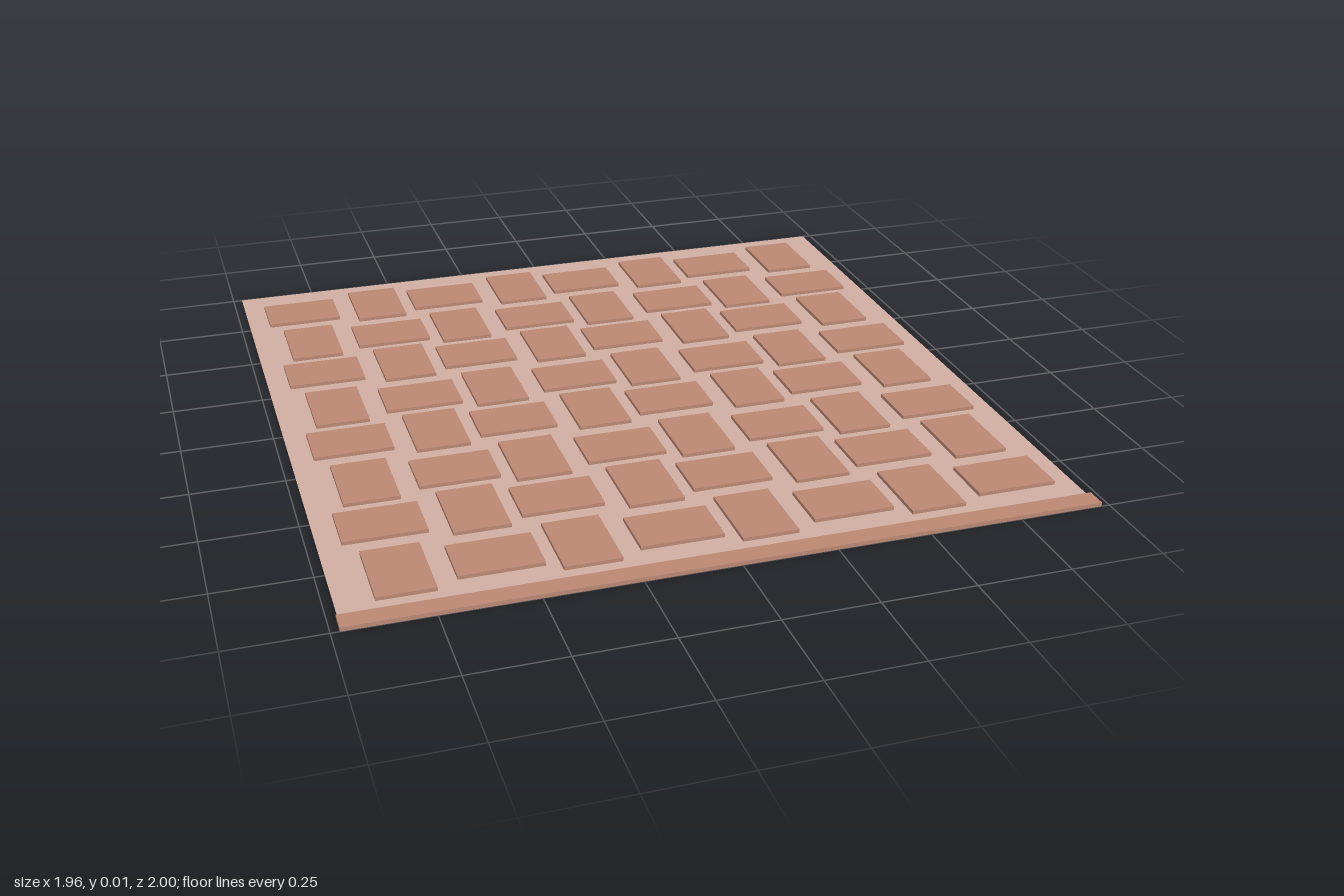
import * as THREE from 'three';

const THICK = 0.011;

export function createModel() {
  const group = new THREE.Group();
  const brickMat = new THREE.MeshStandardMaterial({ color: 0xbd8a75 });
  const mortarMat = new THREE.MeshStandardMaterial({ color: 0xd3b0a3, side: THREE.DoubleSide });

  const add = (name, geometry, material, x, y, z) => {
    const mesh = new THREE.Mesh(geometry, material);
    mesh.name = name;
    mesh.position.set(x, y, z);
    group.add(mesh);
    return mesh;
  };

  // Thin mortar sheet, a hair above the brick undersides
  add('mortarSheet', new THREE.PlaneGeometry(1.948, 2).rotateX(-Math.PI / 2), mortarMat, 0, 0.001, 0);

  // Bricks alternate lengthwise and crosswise in a checkerboard weave
  const lengthwise = new THREE.BoxGeometry(0.218, THICK, 0.149);
  const crosswise = new THREE.BoxGeometry(0.149, THICK, 0.218);
  const PAIR_X = 0.4585, PAIR_Z = 0.46;
  for (let row = 0; row < 8; row++) {
    for (let col = 0; col < 8; col++) {
      const x = (col % 2 ? -0.565 : -0.804) + Math.floor(col / 2) * PAIR_X;
      const z = (row % 2 ? -0.591 : -0.829) + Math.floor(row / 2) * PAIR_Z;
      const geometry = (row + col) % 2 ? crosswise : lengthwise;
      add(`brick_${row}_${col}`, geometry, brickMat, x, THICK / 2, z);
    }
  }

  // Long edging strip along the front
  add('frontEdging', new THREE.BoxGeometry(1.956, THICK, 0.056), brickMat, 0, THICK / 2, 0.972);

  return group;
}
